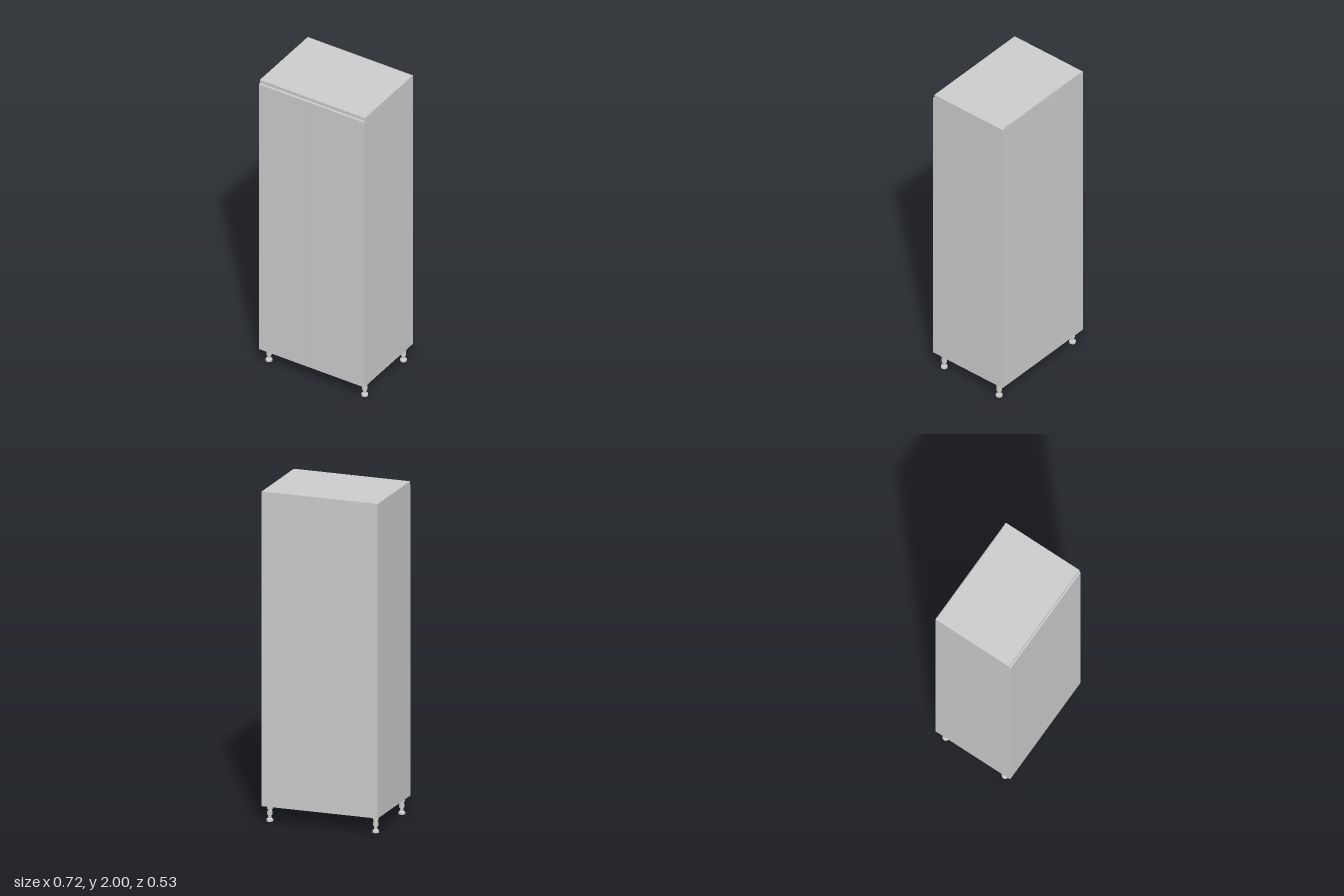
import * as THREE from 'three';

const material = new THREE.MeshStandardMaterial({ color: 0xcccccc });

// overall cabinet limits
const W = 0.362, Y0 = 0.1, Y1 = 2.0;
const BACK = -0.264, FRONT = 0.245, T = 0.0155;

function panel(name, x0, x1, y0, y1, z0, z1) {
  const mesh = new THREE.Mesh(new THREE.BoxGeometry(x1 - x0, y1 - y0, z1 - z0), material);
  mesh.position.set((x0 + x1) / 2, (y0 + y1) / 2, (z0 + z1) / 2);
  mesh.name = name;
  return mesh;
}

// door with a stepped finger grip along its top edge
function door(name, x0, x1) {
  const profile = [
    [FRONT, Y0], [0.262, Y0], [0.262, 1.974], [0.258, 1.978],
    [0.253, 1.978], [0.253, Y1], [FRONT, Y1],
  ];
  const shape = new THREE.Shape(profile.map(([z, y]) => new THREE.Vector2(-z, y)));
  const geometry = new THREE.ExtrudeGeometry(shape, { depth: x1 - x0, bevelEnabled: false });
  geometry.rotateY(Math.PI / 2);
  const mesh = new THREE.Mesh(geometry, material);
  mesh.position.x = x0;
  mesh.name = name;
  return mesh;
}

// adjustable leg: mounting socket, turned stem and round foot
function leg(x, z) {
  const group = new THREE.Group();
  group.name = 'leg';
  const add = (name, top, bottom, y0, y1) => {
    const mesh = new THREE.Mesh(new THREE.CylinderGeometry(top, bottom, y1 - y0, 24), material);
    mesh.position.y = (y0 + y1) / 2;
    mesh.name = name;
    group.add(mesh);
  };
  add('mountingPlate', 0.022, 0.022, 0.092, 0.1);
  add('socket', 0.018, 0.017, 0.074, 0.092);
  add('upperStem', 0.012, 0.012, 0.06, 0.074);
  add('adjusterCollar', 0.016, 0.016, 0.04, 0.06);
  add('lowerStem', 0.01, 0.01, 0.018, 0.04);
  add('footFlare', 0.012, 0.02, 0.012, 0.02);
  add('foot', 0.02, 0.02, 0, 0.012);
  group.position.set(x, 0, z);
  return group;
}

export function createModel() {
  const model = new THREE.Group();
  model.name = 'cabinet';

  // carcass, with a narrow slot left in front of the back panel
  model.add(
    panel('rightSide', -W, -W + T, Y0, Y1, BACK + 0.002, FRONT),
    panel('leftSide', W - T, W, Y0, Y1, BACK + 0.002, FRONT),
    panel('topPanel', -W + T, W - T, Y1 - T, Y1, -0.259, FRONT),
    panel('bottomPanel', -W + T, W - T, Y0, Y0 + T, -0.259, FRONT),
    panel('backPanel', -W, W, Y0, Y1, BACK, BACK + 0.002),
  );

  // pair of doors with a thin central gap
  model.add(door('rightDoor', -W, -0.002), door('leftDoor', 0.002, W));

  for (const x of [-0.33, 0.33]) {
    for (const z of [0.205, -0.212]) model.add(leg(x, z));
  }
  return model;
}
